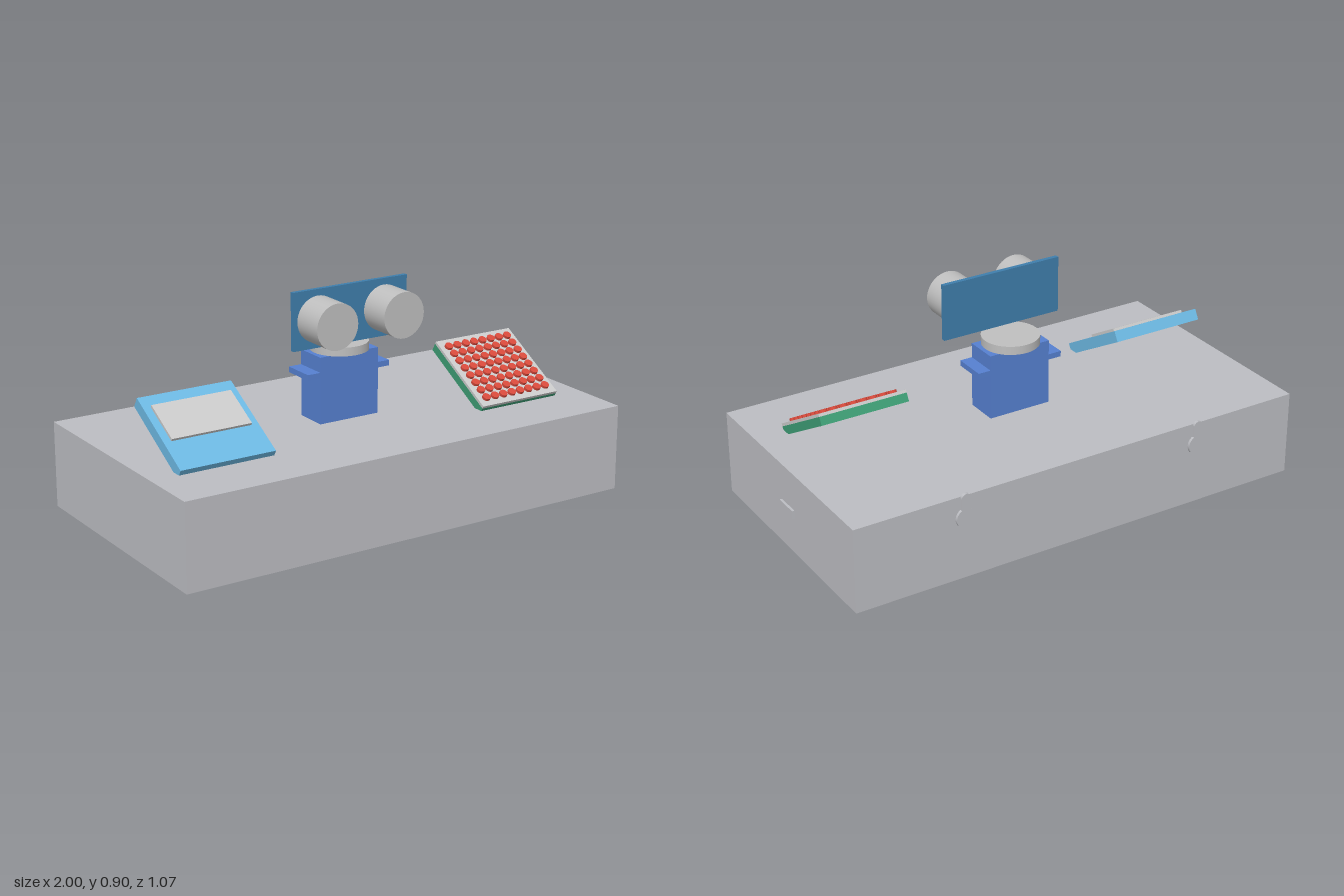
import * as THREE from 'three';

export function createModel() {
  const model = new THREE.Group();
  const mat = (name, color) => {
    const m = new THREE.MeshStandardMaterial({ color });
    m.name = name;
    return m;
  };
  const caseGrey = mat('case grey', 0xbcbdc2);
  const metal = mat('metal grey', 0xbfbfbf);
  const displayGrey = mat('display grey', 0xcacaca);
  const servoBlue = mat('servo blue', 0x5680d0);
  const boardBlue = mat('board blue', 0x3f7eac);
  const panelBlue = mat('panel light blue', 0x6cb8e2);
  const green = mat('board green', 0x3d9c74);
  const red = mat('lamp red', 0xd84a3c);

  const add = (name, geometry, material, parent = model) => {
    const mesh = new THREE.Mesh(geometry, material);
    mesh.name = name;
    parent.add(mesh);
    return mesh;
  };
  // box given by its limits on each axis
  const box = (name, material, [x0, x1], [y0, y1], [z0, z1], parent) =>
    add(name, new THREE.BoxGeometry(x1 - x0, y1 - y0, z1 - z0), material, parent)
      .position.set((x0 + x1) / 2, (y0 + y1) / 2, (z0 + z1) / 2);

  // case with a side port
  box('case', caseGrey, [-1, 0.99], [0, 0.353], [-0.523, 0.534]);
  box('sidePort', caseGrey, [0.985, 1], [0.16, 0.195], [-0.045, 0.06]);

  // keyhole hangers on the back
  const keyhole = new THREE.Shape();
  const r = 0.041, w = 0.019, a = Math.asin(w / r);
  keyhole.absarc(0, 0, r, Math.PI / 2 + a, Math.PI / 2 - a + Math.PI * 2, false);
  keyhole.lineTo(w, 0.084);
  keyhole.absarc(0, 0.084, w, 0, Math.PI, false);
  keyhole.closePath();
  const keyholeGeo = new THREE.ExtrudeGeometry(keyhole, { depth: 0.012, bevelEnabled: false, curveSegments: 20 });
  for (const x of [-0.535, 0.525]) add('keyholeHanger', keyholeGeo, caseGrey).position.set(x, 0.261, -0.534);

  // servo with ears and turning disc
  box('servoBody', servoBlue, [-0.14, 0.13], [0.35, 0.625], [-0.063, 0.077]);
  box('servoEarRight', servoBlue, [-0.197, -0.14], [0.541, 0.564], [-0.063, 0.077]);
  box('servoEarLeft', servoBlue, [0.13, 0.183], [0.541, 0.564], [-0.063, 0.077]);
  add('turningDisc', new THREE.CylinderGeometry(0.117, 0.117, 0.035, 40), metal).position.set(-0.005, 0.6425, 0.006);

  // distance sensor: board and two barrels
  box('sensorBoard', boardBlue, [-0.268, 0.258], [0.671, 0.905], [0.069, 0.087]);
  const barrel = new THREE.CylinderGeometry(0.093, 0.093, 0.14, 40).rotateX(Math.PI / 2);
  for (const x of [-0.158, 0.148]) add('sensorBarrel', barrel, metal).position.set(x, 0.787, 0.159);

  // tilted modules: local y = 0 is the upper face, z = 0 the front edge
  const tilted = (name, x) => {
    const g = new THREE.Group();
    g.name = name;
    g.position.set(x, 0.375, 0.3);
    g.rotation.x = Math.PI / 6;
    model.add(g);
    return g;
  };
  const length = 0.379;

  // display
  const display = tilted('displayModule', -0.683);
  box('displayBoard', panelBlue, [-0.203, 0.203], [-0.046, 0], [-length, 0], display);
  box('displayScreen', displayGrey, [-0.171, 0.171], [0, 0.011], [-0.323, -0.144], display);

  // lamp matrix
  const matrix = tilted('lampMatrix', 0.675);
  box('matrixBoard', green, [-0.187, 0.187], [-0.047, -0.012], [-length, 0], matrix);
  box('matrixFace', displayGrey, [-0.187, 0.187], [-0.012, 0], [-length, 0], matrix);
  const lamp = new THREE.CylinderGeometry(0.017, 0.017, 0.011, 16);
  for (let i = 0; i < 8; i++)
    for (let j = 0; j < 8; j++)
      add('lamp', lamp, red, matrix).position.set((i - 3.5) * 0.0425, 0.0055, -0.04 - j * 0.0425);

  return model;
}
